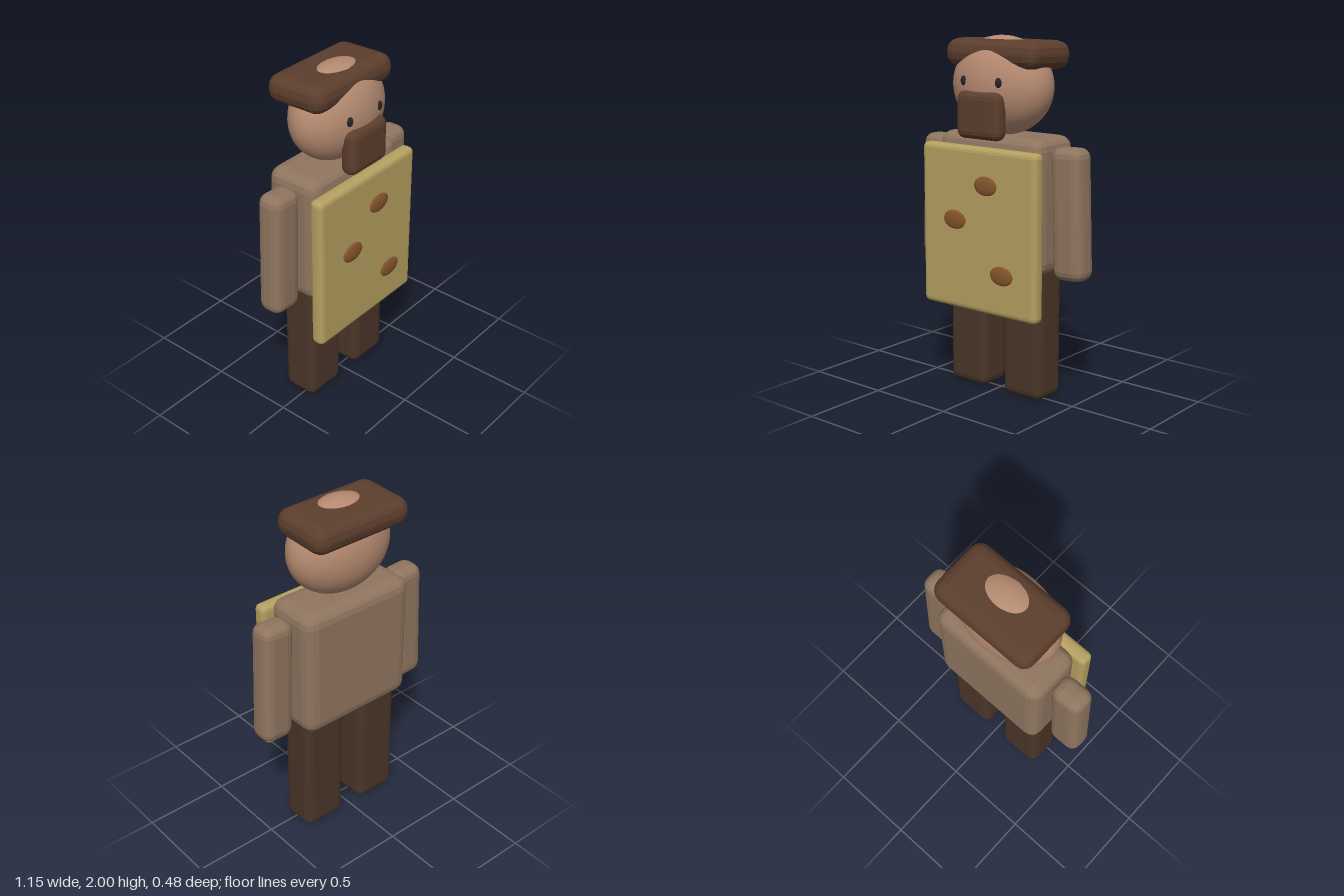
import * as THREE from 'three';
import { RoundedBoxGeometry } from 'three/addons/geometries/RoundedBoxGeometry.js';

const COLORS = {
  skin: 0xb58a70, shirt: 0x8f755f, trousers: 0x4a3528, hat: 0x5c3e2d,
  board: 0xb5a060, spot: 0x85552c, eye: 0x262422,
};

const material = (key, flatShading) =>
  new THREE.MeshStandardMaterial({ color: COLORS[key], flatShading });

// Box with faceted bevels
function block(name, key, size, pos, bevel) {
  const mesh = new THREE.Mesh(new RoundedBoxGeometry(...size, 2, bevel), material(key, true));
  mesh.name = name;
  mesh.position.set(...pos);
  return mesh;
}

// Smooth ellipsoid given by its three radii
function ellipsoid(name, key, radii, pos, detail = 20) {
  const mesh = new THREE.Mesh(new THREE.SphereGeometry(1, detail * 2, detail), material(key, false));
  mesh.name = name;
  mesh.scale.set(...radii);
  mesh.position.set(...pos);
  return mesh;
}

export function createModel() {
  const model = new THREE.Group();
  model.name = 'figure';

  // Head with cap and beard
  model.add(ellipsoid('head', 'skin', [0.315, 0.27, 0.205], [0, 1.73, -0.012], 32));
  const cap = block('cap', 'hat', [0.63, 0.155, 0.37], [0, 1.9, -0.052], 0.07);
  cap.rotation.x = -0.03;
  model.add(cap);
  model.add(block('beard', 'hat', [0.3, 0.26, 0.1], [0, 1.58, 0.172], 0.045));

  // Torso
  model.add(block('torso', 'shirt', [0.72, 0.75, 0.335], [0, 1.095, -0.033], 0.07));

  // Paired parts
  for (const [side, s] of [['left', 1], ['right', -1]]) {
    model.add(ellipsoid(`${side}Eye`, 'eye', [0.02, 0.027, 0.013], [s * 0.12, 1.76, 0.175], 10));
    const arm = block(`${side}Arm`, 'shirt', [0.195, 0.72, 0.153], [s * 0.466, 1.068, -0.022], 0.055);
    arm.rotation.z = s * 0.035;
    model.add(arm);
    model.add(block(`${side}Leg`, 'trousers', [0.265, 0.78, 0.213], [s * 0.195, 0.39, -0.03], 0.045));
  }

  // Front board with spots
  model.add(block('board', 'board', [0.8, 0.92, 0.082], [0, 0.95, 0.173], 0.03));
  [[0.07, 1.21], [-0.15, 1.0], [0.18, 0.73]].forEach(([x, y], i) =>
    model.add(ellipsoid(`spot${i + 1}`, 'spot', [0.078, 0.053, 0.014], [x, y, 0.225], 12)));

  return model;
}
